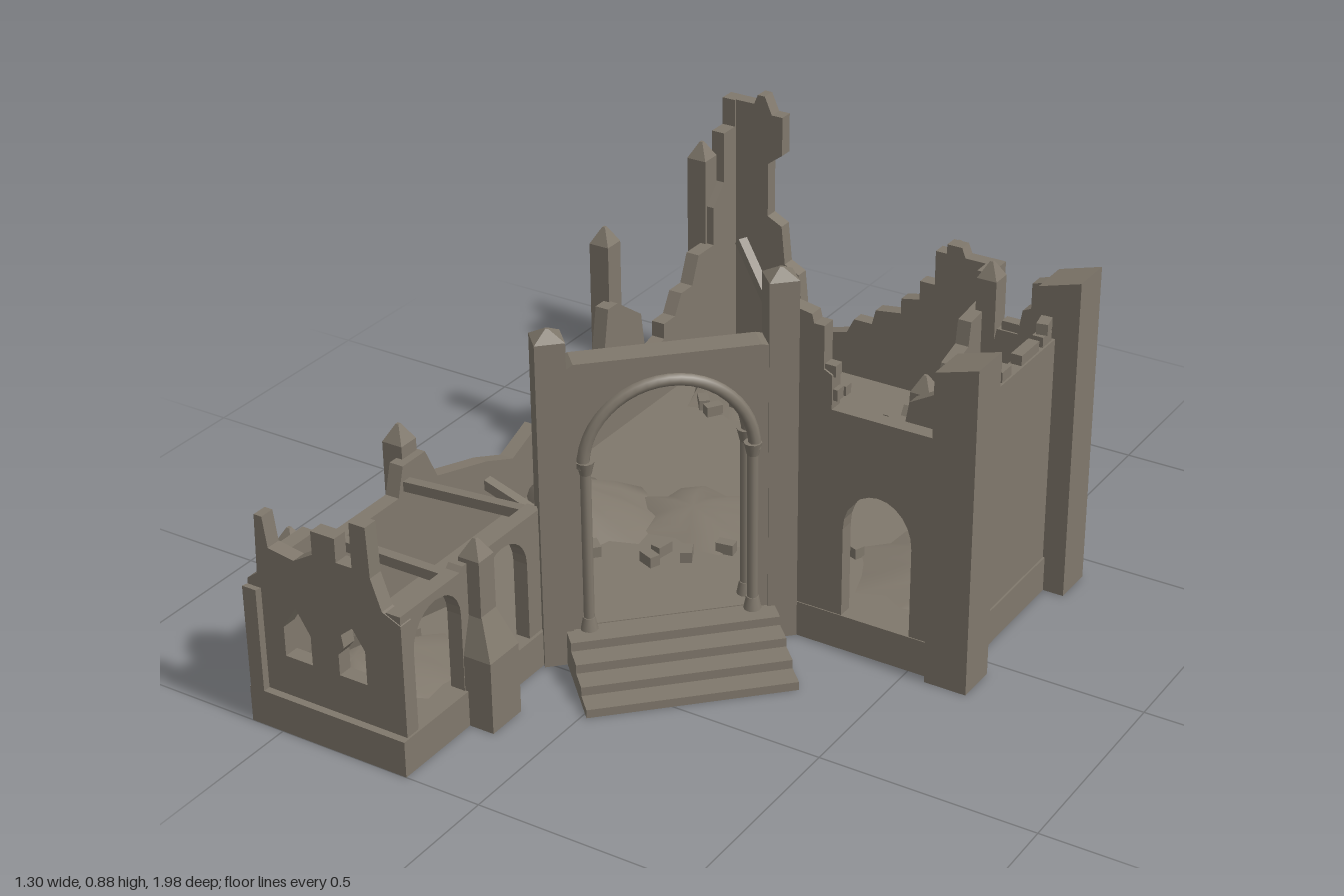
import * as THREE from 'three';

const BASE = 0.085;

export function createModel() {
  const model = new THREE.Group();
  const stone = new THREE.MeshStandardMaterial({ color: 0x80786c });
  stone.name = 'weathered stone';

  let seed = 7;
  const rand = () => (seed = (seed * 16807) % 2147483647) / 2147483647;

  function add(name, geometry, parent = model, x = 0, y = 0, z = 0) {
    const mesh = new THREE.Mesh(geometry, stone);
    mesh.name = name;
    mesh.position.set(x, y, z);
    parent.add(mesh);
    return mesh;
  }
  function group(name, x, y, z, turn = 0) {
    const g = new THREE.Group();
    g.name = name;
    g.position.set(x, y, z);
    g.rotation.y = turn;
    model.add(g);
    return g;
  }
  const polygon = pts => new THREE.Shape(pts.map(p => new THREE.Vector2(p[0], p[1])));

  // Box standing on y = 0; its top can taper and slope
  function block(w, h, d, taper = 1, slope = 0) {
    const geo = new THREE.BoxGeometry(w, h, d).translate(0, h / 2, 0).toNonIndexed();
    const p = geo.attributes.position;
    for (let i = 0; i < p.count; i++) {
      if (p.getY(i) < h / 2) continue;
      p.setXYZ(i, p.getX(i) * taper, h + slope * p.getX(i), p.getZ(i) * taper);
    }
    geo.computeVertexNormals();
    return geo;
  }

  // Round-headed opening: centre, half width, sill, springing height
  function archHole(c, r, sill, spring, rise = 1) {
    const pts = [[c - r, sill], [c + r, sill]];
    for (let i = 0; i <= 12; i++) {
      const a = Math.PI * i / 12;
      pts.push([c + r * Math.cos(a), spring + r * rise * Math.sin(a)]);
    }
    return polygon(pts);
  }

  // Broken wall from its ragged top line, running along x or along z
  function wall(name, axis, offset, top, holes = [], thick = 0.035) {
    const shape = polygon([[top[0][0], 0.05], ...top, [top[top.length - 1][0], 0.05]]);
    shape.holes.push(...holes);
    const geo = new THREE.ExtrudeGeometry(shape, { depth: thick, bevelEnabled: false });
    geo.translate(0, 0, -thick / 2);
    if (axis === 'z') geo.rotateY(-Math.PI / 2);
    return axis === 'z' ? add(name, geo, model, offset) : add(name, geo, model, 0, 0, offset);
  }

  // Flat plate from a plan outline in x and z
  const slab = (pts, h) => new THREE.ExtrudeGeometry(polygon(pts.map(([x, z]) => [x, -z])),
    { depth: h, bevelEnabled: false }).rotateX(-Math.PI / 2);

  add('foundation', slab([[-0.58, -0.91], [0.19, -0.91], [0.19, -0.4], [0.6, -0.4], [0.6, 0.12],
    [0.2, 0.12], [-0.18, 0.5], [-0.18, 1], [-0.58, 1]], BASE));

  // Main walls
  wall('leftWall', 'z', -0.56, [[-0.91, 0.75], [-0.87, 0.75], [-0.87, 0.68], [-0.82, 0.68], [-0.82, 0.55],
    [-0.77, 0.5], [-0.77, 0.4], [-0.7, 0.4], [-0.67, 0.33], [-0.62, 0.33], [-0.59, 0.28], [-0.54, 0.28],
    [-0.54, 0.24], [-0.46, 0.22], [-0.44, 0.35], [-0.34, 0.42], [-0.3, 0.42], [-0.28, 0.31], [-0.2, 0.28],
    [-0.17, 0.21], [-0.05, 0.2], [0, 0.25], [0.1, 0.21], [0.2, 0.25], [0.38, 0.3], [0.42, 0.38], [0.5, 0.38],
    [0.52, 0.31], [0.78, 0.31], [0.8, 0.37], [0.88, 0.37], [0.9, 0.31], [1, 0.33]]);
  wall('backWall', 'x', -0.892, [[-0.577, 0.66], [-0.55, 0.75], [-0.49, 0.75], [-0.48, 0.775], [-0.46, 0.775],
    [-0.44, 0.73], [-0.41, 0.73], [-0.41, 0.63], [-0.45, 0.6], [-0.45, 0.46], [-0.41, 0.44], [-0.4, 0.34],
    [-0.36, 0.32], [-0.35, 0.22], [-0.29, 0.18], [-0.22, 0.2], [-0.2, 0.24], [-0.15, 0.24], [-0.14, 0.28],
    [-0.07, 0.29], [-0.07, 0.33], [-0.02, 0.34], [-0.02, 0.39], [0.02, 0.39], [0.02, 0.48], [0.05, 0.48],
    [0.05, 0.505], [0.09, 0.505], [0.1, 0.48], [0.19, 0.48]]);
  wall('rightWall', 'z', 0.172, [[-0.91, 0.48], [-0.83, 0.48], [-0.83, 0.4], [-0.74, 0.39], [-0.73, 0.33],
    [-0.66, 0.31], [-0.65, 0.26], [-0.58, 0.25], [-0.57, 0.2], [-0.51, 0.2], [-0.48, 0.28], [-0.44, 0.22], [-0.38, 0.3]]);

  // Side chapel walls
  wall('chapelFrontWall', 'x', 0.1, [[0.19, 0.8], [0.25, 0.79], [0.255, 0.77], [0.28, 0.77], [0.28, 0.67],
    [0.3, 0.66], [0.3, 0.58], [0.58, 0.58]], [archHole(0.415, 0.083, BASE, 0.3, 1.2)]);
  wall('chapelBackWall', 'x', -0.38, [[0.17, 0.3], [0.22, 0.3], [0.23, 0.36], [0.3, 0.4], [0.33, 0.35],
    [0.355, 0.34], [0.345, 0.28], [0.37, 0.26], [0.36, 0.2], [0.5, 0.21], [0.49, 0.33], [0.45, 0.4],
    [0.42, 0.5], [0.44, 0.6], [0.49, 0.6], [0.5, 0.66], [0.52, 0.67], [0.52, 0.73], [0.58, 0.75]]);
  wall('chapelSideWall', 'z', 0.578, [[-0.38, 0.63], [0.1, 0.63]]);

  // Front room walls with windows
  wall('frontRoomWall', 'x', 0.965, [[-0.577, 0.34], [-0.55, 0.36], [-0.545, 0.5], [-0.525, 0.5], [-0.515, 0.43],
    [-0.45, 0.42], [-0.4, 0.45], [-0.4, 0.505], [-0.34, 0.505], [-0.34, 0.45], [-0.3, 0.45], [-0.3, 0.555],
    [-0.26, 0.555], [-0.255, 0.44], [-0.23, 0.37], [-0.185, 0.35]],
  [polygon([[-0.49, 0.18], [-0.42, 0.18], [-0.42, 0.25], [-0.455, 0.305], [-0.49, 0.25]]),
    polygon([[-0.35, 0.18], [-0.28, 0.18], [-0.28, 0.26], [-0.31, 0.305], [-0.34, 0.28], [-0.335, 0.25], [-0.35, 0.23]])]);
  wall('frontRoomArcade', 'z', -0.205, [[0.49, 0.38], [0.77, 0.38], [0.78, 0.37], [0.98, 0.37]],
    [archHole(0.63, 0.083, BASE, 0.27), archHole(0.862, 0.08, BASE, 0.27)]);

  // Buttresses: wide foot, tapering neck, slim shaft with pointed cap
  const R = Math.PI / 2;
  [[-0.58, -0.79, -R, 0.66], [-0.58, -0.36, -R, 0.6], [-0.58, 0.45, -R, 0.45], [-0.58, 0.83, -R, 0.38],
    [0.19, -0.82, R, 0.52], [0.19, -0.5, R, 0.36], [0.06, -0.91, Math.PI, 0.5], [-0.19, 0.73, R, 0.43]
  ].forEach(([x, z, turn, h]) => {
    const g = group('buttress', x, 0, z, turn);
    add('buttressFoot', block(0.1, 0.17, 0.1), g, 0, 0, 0.02);
    const neck = add('buttressNeck', block(0.1, 0.09, 0.1, 0.5), g, 0, 0.17, 0.02);
    neck.geometry.applyMatrix4(new THREE.Matrix4().makeShear(0, 0, 0, -0.12, 0, 0));
    add('buttressShaft', block(0.052, h - 0.29, 0.052), g, 0, 0.25, 0.008);
    add('buttressCap', block(0.052, 0.04, 0.052, 0.15), g, 0, h - 0.04, 0.008);
  });

  // Corner piers of the chapel, with sloping tops
  for (const z of [-0.38, 0.09]) add('chapelPier', block(0.1, 0.76, 0.1, 1, 0.3), model, 0.6, 0, z);

  // Diagonal entrance: local x runs along the wall, local z points outwards
  const gate = group('entrance', 0.002, 0, 0.295, Math.PI / 4);
  const arch = polygon([[-0.25, BASE], [-0.182, BASE], ...Array.from({ length: 21 }, (_, i) => {
    const a = Math.PI * (1 - i / 20);
    return [0.182 * Math.cos(a), 0.48 + 0.182 * Math.sin(a)];
  }), [0.182, BASE], [0.25, BASE], [0.25, 0.71], [0.2, 0.722], [-0.2, 0.722], [-0.25, 0.69]]);
  add('archWall', new THREE.ExtrudeGeometry(arch, { depth: 0.06, bevelEnabled: false }), gate, 0, 0, -0.03);
  for (const z of [-0.032, 0.032]) {
    add('archMoulding', new THREE.TorusGeometry(0.185, 0.014, 8, 24, Math.PI), gate, 0, 0.48, z);
    for (const s of [-1, 1]) {
      add('archColumn', new THREE.CylinderGeometry(0.012, 0.012, 0.395, 10), gate, s * 0.18, 0.282, z);
      add('columnCapital', new THREE.CylinderGeometry(0.02, 0.013, 0.03, 10), gate, s * 0.18, 0.48, z);
      add('columnFoot', new THREE.CylinderGeometry(0.014, 0.02, 0.03, 10), gate, s * 0.18, BASE + 0.015, z);
    }
  }
  [[0.247, 0.86], [-0.247, 0.775]].forEach(([x, h]) => {
    add('gatePier', block(0.065, h, 0.065), gate, x);
    add('gatePierCap', block(0.065, 0.022, 0.065, 0.1), gate, x, h);
  });
  for (let i = 0; i < 4; i++) {
    const depth = 0.08 + i * 0.055;
    add('step', block(0.46, 0.083 - i * 0.021, depth), gate, 0, 0, depth / 2);
  }

  // Fallen earth: irregular low mounds, highest near the walls
  function mound(x, z, rx, rz, h, dx, dz) {
    const n = 18, rings = [[1, 0], [0.7, 0.45], [0.35, 0.8]], pos = [], index = [];
    rings.forEach(([r, y]) => {
      for (let i = 0; i < n; i++) {
        const a = i / n * Math.PI * 2, k = r * (0.88 + 0.14 * Math.sin(i * 2.3));
        pos.push(x + rx * k * Math.cos(a) + dx * y, BASE + 0.002 + h * y, z + rz * k * Math.sin(a) + dz * y);
      }
    });
    pos.push(x + dx, BASE + h, z + dz);
    for (let j = 0; j < 3; j++) for (let i = 0; i < n; i++) {
      const a = j * n + i, b = j * n + (i + 1) % n;
      if (j === 2) index.push(a, 3 * n, b);
      else index.push(a, a + n, b, b, a + n, b + n);
    }
    const geo = new THREE.BufferGeometry();
    geo.setAttribute('position', new THREE.Float32BufferAttribute(pos, 3));
    geo.setIndex(index);
    geo.computeVertexNormals();
    add('rubbleMound', geo);
  }
  mound(-0.37, -0.69, 0.18, 0.2, 0.06, -0.09, -0.07);
  mound(-0.37, 0.04, 0.18, 0.17, 0.06, -0.08, 0);
  mound(-0.12, -0.08, 0.2, 0.15, 0.025, -0.05, 0);
  mound(0.4, -0.15, 0.17, 0.2, 0.035, 0.06, -0.05);
  mound(-0.38, 0.79, 0.16, 0.17, 0.035, -0.05, 0.05);

  // Fallen roof beams
  [[-0.5, 0.4, -0.83, -0.23, 0.12, -0.7], [-0.56, 0.2, 0.2, -0.31, 0.12, 0.2], [0.39, 0.12, -0.16, 0.56, 0.28, -0.28],
    [-0.56, 0.31, 0.73, -0.2, 0.31, 0.73], [-0.56, 0.33, 0.49, -0.17, 0.36, 0.49], [-0.52, 0.11, 0.91, -0.24, 0.28, 0.75]
  ].forEach(([x1, y1, z1, x2, y2, z2]) => {
    const a = new THREE.Vector3(x1, y1, z1), b = new THREE.Vector3(x2, y2, z2);
    const beam = add('beam', new THREE.BoxGeometry(0.024, 0.024, a.distanceTo(b)));
    beam.position.copy(a).lerp(b, 0.5);
    beam.lookAt(b);
  });

  // Loose bricks on the floor and on the broken tops
  const brick = (x, y, z, turn) => {
    add('looseBrick', block(0.042, 0.026, 0.026), model, x, y, z).rotation.y = turn;
  };
  [[-0.18, -0.78], [-0.19, -0.71], [-0.22, -0.62], [-0.26, -0.6], [-0.31, -0.56], [-0.35, -0.57], [-0.39, -0.52],
    [-0.43, -0.54], [0.07, -0.85], [0.09, -0.81], [0.08, -0.76], [0.13, -0.78], [0.06, -0.67], [0.12, -0.71],
    [0.13, -0.66], [0.08, -0.11], [0.04, -0.01], [-0.02, 0.02], [-0.08, 0.09], [-0.14, 0.1], [-0.14, 0.15],
    [-0.27, 0.18], [-0.35, 0.25], [-0.39, 0.24], [0.23, -0.12], [0.22, -0.08], [-0.53, 0.69], [-0.49, 0.65],
    [-0.44, 0.64], [-0.41, 0.67]].forEach(([x, z]) => brick(x, BASE, z, rand() * 3));
  for (const z of [0.03, -0.02, -0.06, -0.11, -0.2, -0.24, -0.3]) {
    brick(0.578, 0.628, z, R);
    if (rand() > 0.4) brick(0.578, 0.654, z - 0.01, R + 0.2);
  }
  for (const [x, y] of [[0.29, 0.6], [0.285, 0.655], [0.47, 0.595]]) brick(x, y, x < 0.4 ? 0.1 : -0.38, 0);

  return model;
}
